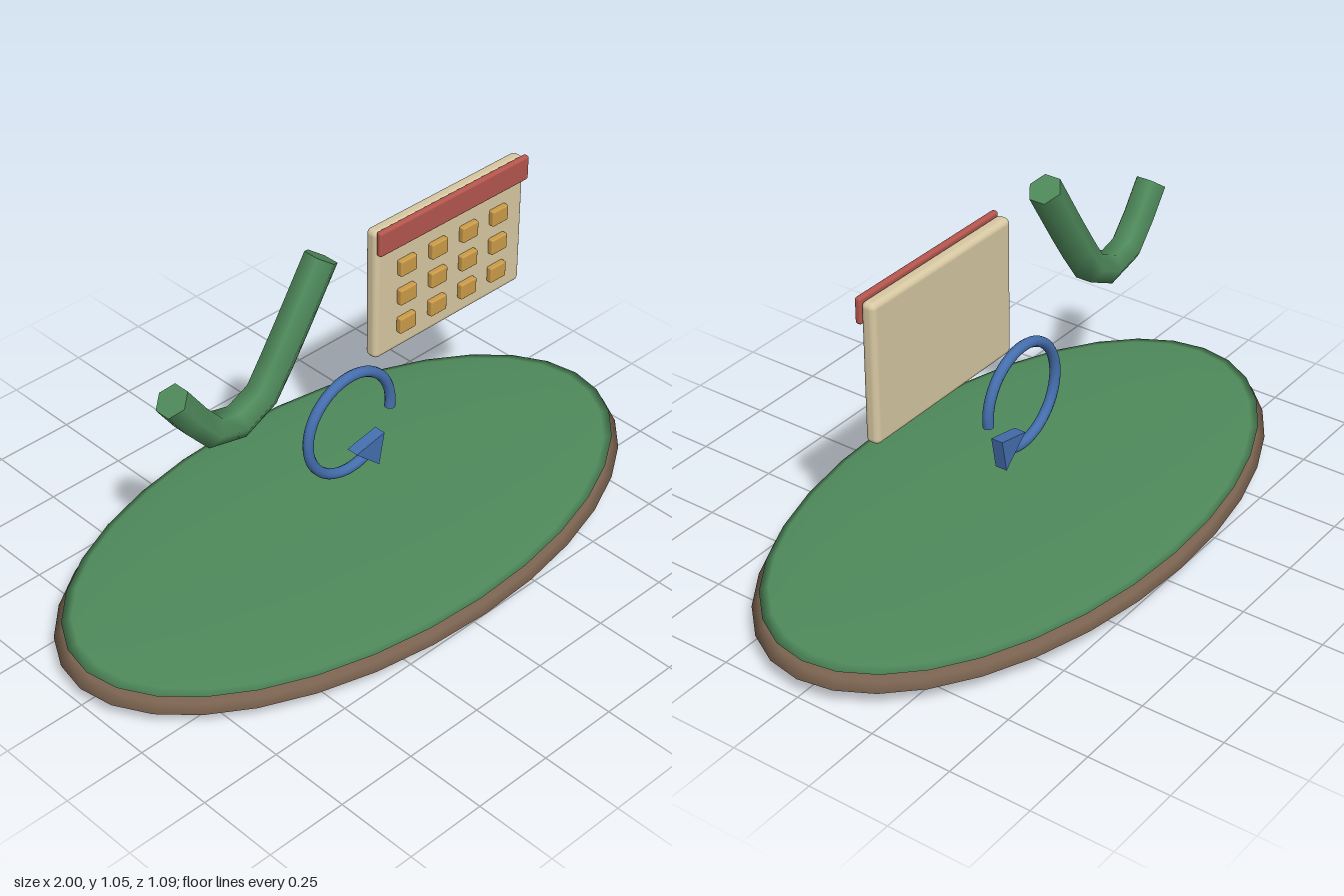
import * as THREE from 'three';
import { RoundedBoxGeometry } from 'three/addons/geometries/RoundedBoxGeometry.js';

const material = (color) => new THREE.MeshStandardMaterial({ color });
const GREEN = material(0x4f8a5b), BROWN = material(0x7a624f), CREAM = material(0xd8c9a3);
const RED = material(0xb5564e), GOLD = material(0xcc9c48), BLUE = material(0x456fae);

function add(parent, name, geometry, mat, x = 0, y = 0, z = 0) {
  const mesh = new THREE.Mesh(geometry, mat);
  mesh.name = name;
  mesh.position.set(x, y, z);
  parent.add(mesh);
  return mesh;
}

// Tube with flat discs closing both ends
function cappedTube(parent, name, curve, segments, radius, sides, mat) {
  const group = new THREE.Group();
  group.name = name;
  parent.add(group);
  add(group, name + 'Body', new THREE.TubeGeometry(curve, segments, radius, sides, false), mat);
  for (const [t, sign] of [[0, -1], [1, 1]]) {
    const p = curve.getPointAt(t);
    const cap = add(group, name + 'Cap', new THREE.CircleGeometry(radius, sides, Math.PI / 2), mat, p.x, p.y, p.z);
    // Basis keeps a corner of the disc on the z axis, as on the tube
    const out = curve.getTangentAt(t).multiplyScalar(sign);
    const up = new THREE.Vector3(0, 0, 1);
    cap.quaternion.setFromRotationMatrix(
      new THREE.Matrix4().makeBasis(new THREE.Vector3().crossVectors(up, out), up, out));
  }
}

export function createModel() {
  const model = new THREE.Group();

  // Island: flattened earth with a thinner grass layer on top
  add(model, 'earthBase', new THREE.SphereGeometry(1, 32, 12), BROWN, 0, 0.06, 0).scale.set(1, 0.06, 0.545);
  add(model, 'grassTop', new THREE.SphereGeometry(1, 32, 12), GREEN, 0, 0.104, 0).scale.set(0.975, 0.019, 0.525);

  // Check mark
  const checkPoints = [[-0.635, 0.83], [-0.515, 0.675], [-0.45, 0.645], [-0.335, 0.685], [-0.265, 0.78], [-0.105, 1.03]];
  const checkCurve = new THREE.CatmullRomCurve3(checkPoints.map(([x, y]) => new THREE.Vector3(x, y, 0)));
  cappedTube(model, 'checkMark', checkCurve, 8, 0.05, 6, GREEN);

  // Calendar: page, header strip and a grid of day tiles
  const calendar = new THREE.Group();
  calendar.name = 'calendar';
  model.add(calendar);
  add(calendar, 'page', new RoundedBoxGeometry(0.585, 0.42, 0.044, 3, 0.017), CREAM, 0.37, 0.82, 0);
  add(calendar, 'header', new RoundedBoxGeometry(0.585, 0.078, 0.02, 2, 0.008), RED, 0.37, 0.998, 0.03);
  for (let row = 0; row < 3; row++) {
    for (let col = 0; col < 4; col++) {
      add(calendar, 'dayTile', new RoundedBoxGeometry(0.062, 0.05, 0.02, 2, 0.005), GOLD,
        0.19 + col * 0.121, 0.884 - row * 0.095, 0.03);
    }
  }

  // Circular arrow: open ring and a wedge-shaped head
  const arc = new THREE.Path().absarc(0, 0.424, 0.16, -0.14, 5.2, false);
  const ringCurve = new THREE.CatmullRomCurve3(arc.getSpacedPoints(32).map((p) => new THREE.Vector3(p.x, p.y, 0)));
  cappedTube(model, 'refreshRing', ringCurve, 48, 0.016, 10, BLUE);
  const head = new THREE.Shape([[0.01, 0.314], [0.1, 0.232], [0.12, 0.336]].map(([x, y]) => new THREE.Vector2(x, y)));
  add(model, 'arrowHead', new THREE.ExtrudeGeometry(head, { depth: 0.038, bevelEnabled: false }), BLUE, 0, 0, -0.019);

  return model;
}
